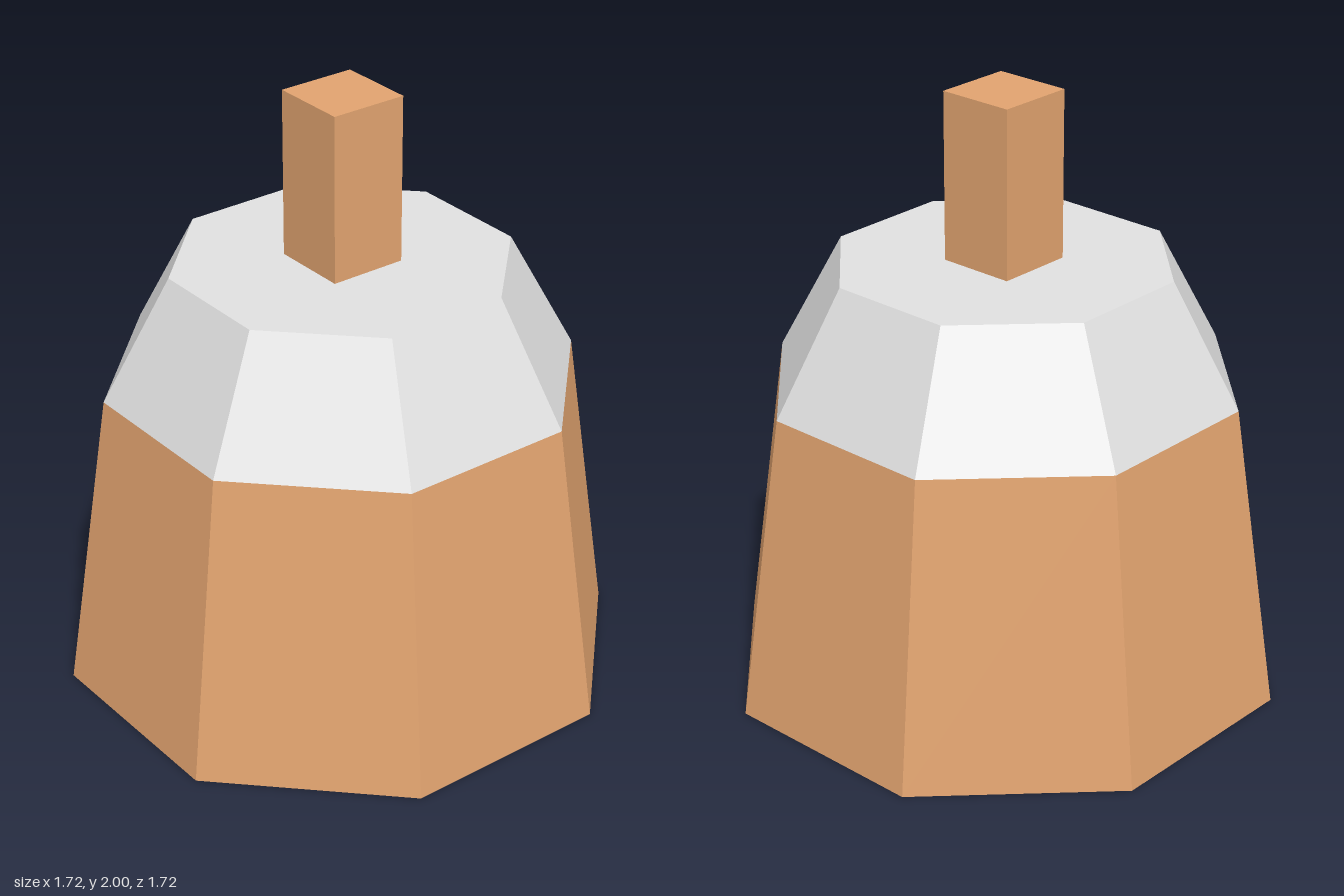
import * as THREE from 'three';

const wood = new THREE.MeshStandardMaterial({ name: 'lightWood', color: 0xe1a36f, side: THREE.DoubleSide, flatShading: true });
const grey = new THREE.MeshStandardMaterial({ name: 'paleGrey', color: 0xe0e0e0, side: THREE.DoubleSide, flatShading: true });

// Distance from centre to a flat side, converted to the corner radius of an octagon
const corner = (apothem) => apothem / Math.cos(Math.PI / 8);

// Open eight-sided tapered ring with flat sides facing the axes
function octagonRing(name, bottom, top, y0, y1, material) {
  const geometry = new THREE.CylinderGeometry(corner(top), corner(bottom), y1 - y0, 8, 1, true, Math.PI / 8);
  const mesh = new THREE.Mesh(geometry, material);
  mesh.name = name;
  mesh.position.y = (y0 + y1) / 2;
  return mesh;
}

export function createModel() {
  const model = new THREE.Group();
  model.name = 'taperedOctagonWithPost';

  // Hollow body, open underneath, and sloped shoulder
  model.add(octagonRing('body', 0.862, 0.724, 0, 1.03, wood));
  model.add(octagonRing('shoulder', 0.724, 0.518, 1.03, 1.44, grey));

  // Flat octagonal top
  const lid = new THREE.Mesh(new THREE.CircleGeometry(corner(0.518), 8, Math.PI / 8), grey);
  lid.name = 'topPlate';
  lid.rotation.x = -Math.PI / 2;
  lid.position.y = 1.44;
  model.add(lid);

  // Square post standing on the top
  const post = new THREE.Mesh(new THREE.BoxGeometry(0.264, 0.56, 0.264), wood);
  post.name = 'post';
  post.position.y = 1.72;
  model.add(post);

  return model;
}
